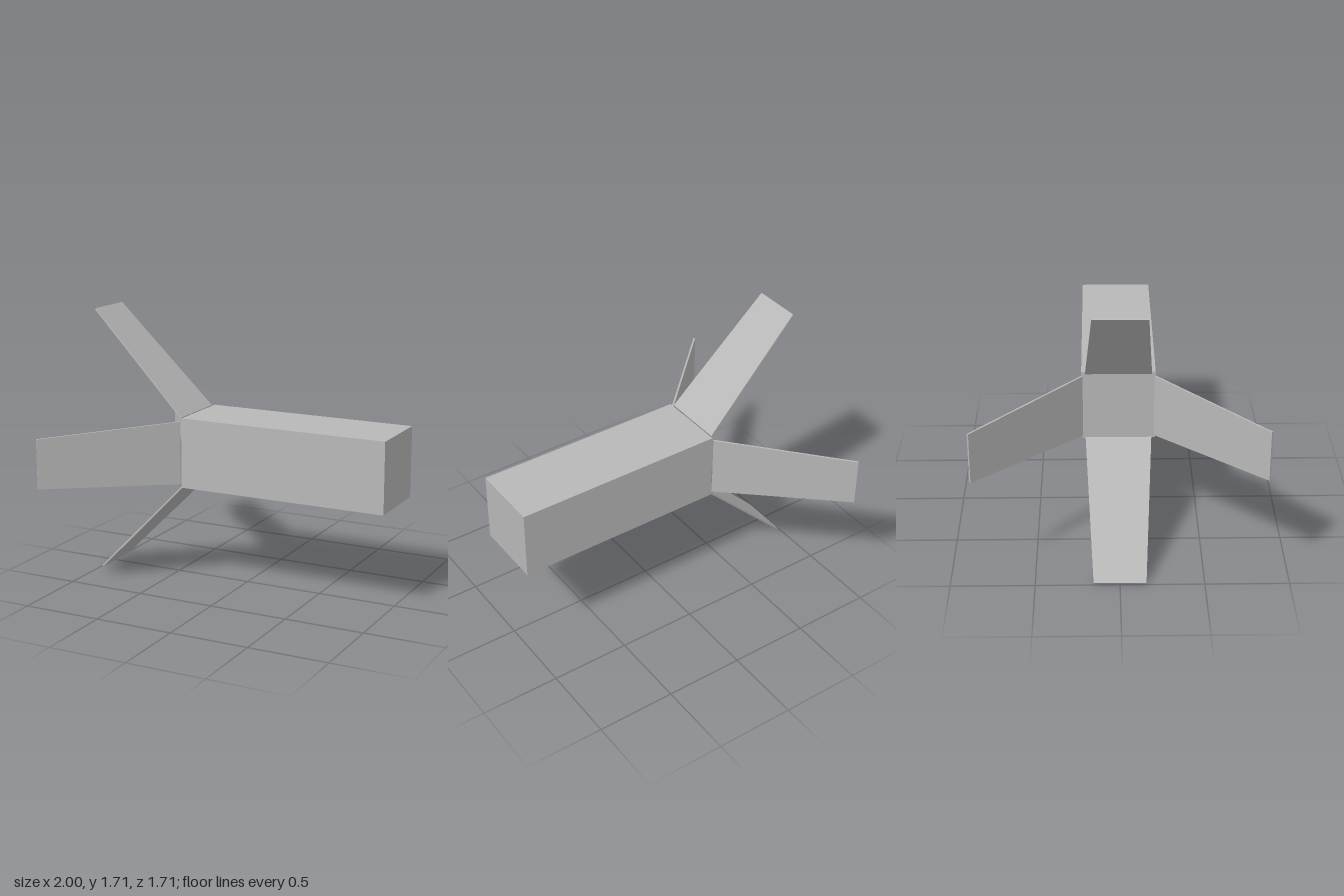
import * as THREE from 'three';

export function createModel() {
  const model = new THREE.Group();
  const grey = new THREE.MeshStandardMaterial({ color: 0xb8b8b8 });
  grey.name = 'plain grey';
  const axisY = 0.857;

  // Long square body
  const body = new THREE.Mesh(new THREE.BoxGeometry(1.35, 0.445, 0.445), grey);
  body.name = 'body';
  body.position.set(0.325, axisY, 0);
  model.add(body);

  // Thin tapered fin, swept back and outward at 45 degrees
  const length = 0.896, thickness = 0.012;
  const outline = new THREE.Shape([
    new THREE.Vector2(0, -0.2),
    new THREE.Vector2(length, -0.156),
    new THREE.Vector2(length, 0.156),
    new THREE.Vector2(0, 0.2),
  ]);
  const finGeometry = new THREE.ExtrudeGeometry(outline, { depth: thickness, bevelEnabled: false });
  finGeometry.translate(0, 0, -thickness / 2);
  finGeometry.rotateX(Math.PI / 2);
  finGeometry.rotateZ(Math.PI * 0.75);
  finGeometry.translate(-0.362, 0.219, 0);

  // Four fins around the body's long axis; the lower one sits slightly forward
  ['topFin', 'frontFin', 'bottomFin', 'backFin'].forEach((name, i) => {
    const fin = new THREE.Mesh(finGeometry, grey);
    fin.name = name;
    fin.position.set(name === 'bottomFin' ? 0.006 : 0, axisY, 0);
    fin.rotation.x = i * Math.PI / 2;
    model.add(fin);
  });

  return model;
}
